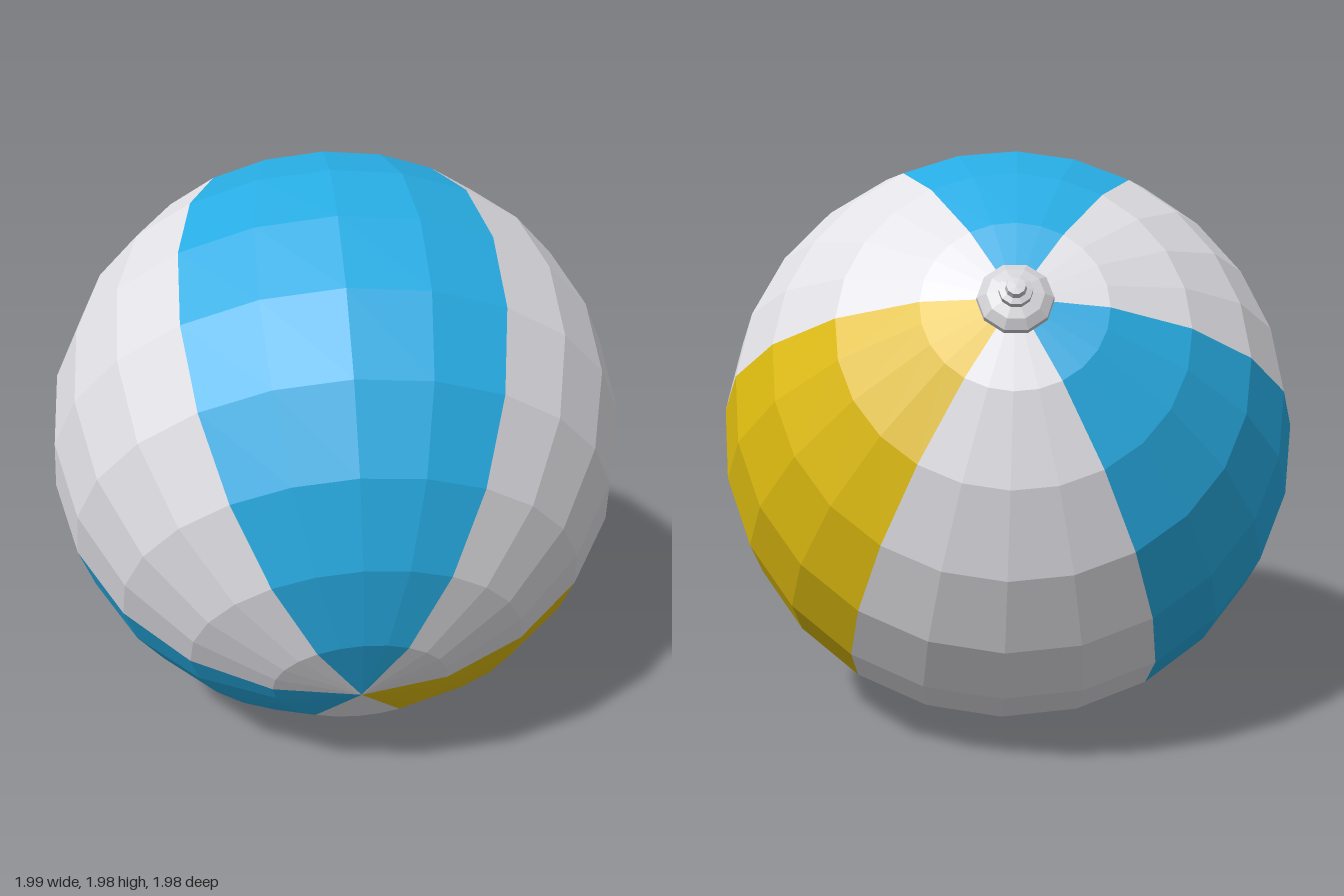
import * as THREE from 'three';

const makeMaterial = (name, color, extra = {}) => {
  const m = new THREE.MeshStandardMaterial({ color, flatShading: true, ...extra });
  m.name = name;
  return m;
};

export function createModel() {
  const blue = makeMaterial('blue', 0x27abe2);
  const white = makeMaterial('white', 0xe1e0e5);
  const yellow = makeMaterial('yellow', 0xe0bd10);
  const grey = makeMaterial('valveGrey', 0xd0d0d4);

  const model = new THREE.Group();
  model.name = 'beachBall';

  // Tilted ball: local y runs from the plain pole to the valve
  const ball = new THREE.Group();
  ball.name = 'ball';
  const axis = new THREE.Vector3(-0.36, 0.55, -0.755).normalize();
  const up = new THREE.Vector3(0, 1, 0).addScaledVector(axis, -axis.y).normalize();
  const side = new THREE.Vector3().crossVectors(up, axis);
  ball.quaternion.setFromRotationMatrix(new THREE.Matrix4().makeBasis(up, axis, side));
  ball.position.y = 0.995;
  model.add(ball);

  // Six equal gores
  const gore = Math.PI / 3;
  const start = Math.PI - THREE.MathUtils.degToRad(32);
  [blue, white, yellow, white, blue, white].forEach((material, i) => {
    const panel = new THREE.Mesh(
      new THREE.SphereGeometry(1, 4, 11, start + i * gore, gore), material);
    panel.name = 'panel' + (i + 1);
    ball.add(panel);
  });

  // Stepped valve cap at the upper rear pole
  const profile = [
    [0.09, 0.965], [0.115, 0.99], [0.113, 1.005], [0.085, 1.025], [0.05, 1.032],
    [0.05, 1.05], [0.032, 1.055], [0.028, 1.072], [0, 1.074],
  ].map(([r, y]) => new THREE.Vector2(r, y));
  const valve = new THREE.Mesh(new THREE.LatheGeometry(profile, 10), grey);
  valve.name = 'valve';
  ball.add(valve);

  return model;
}
